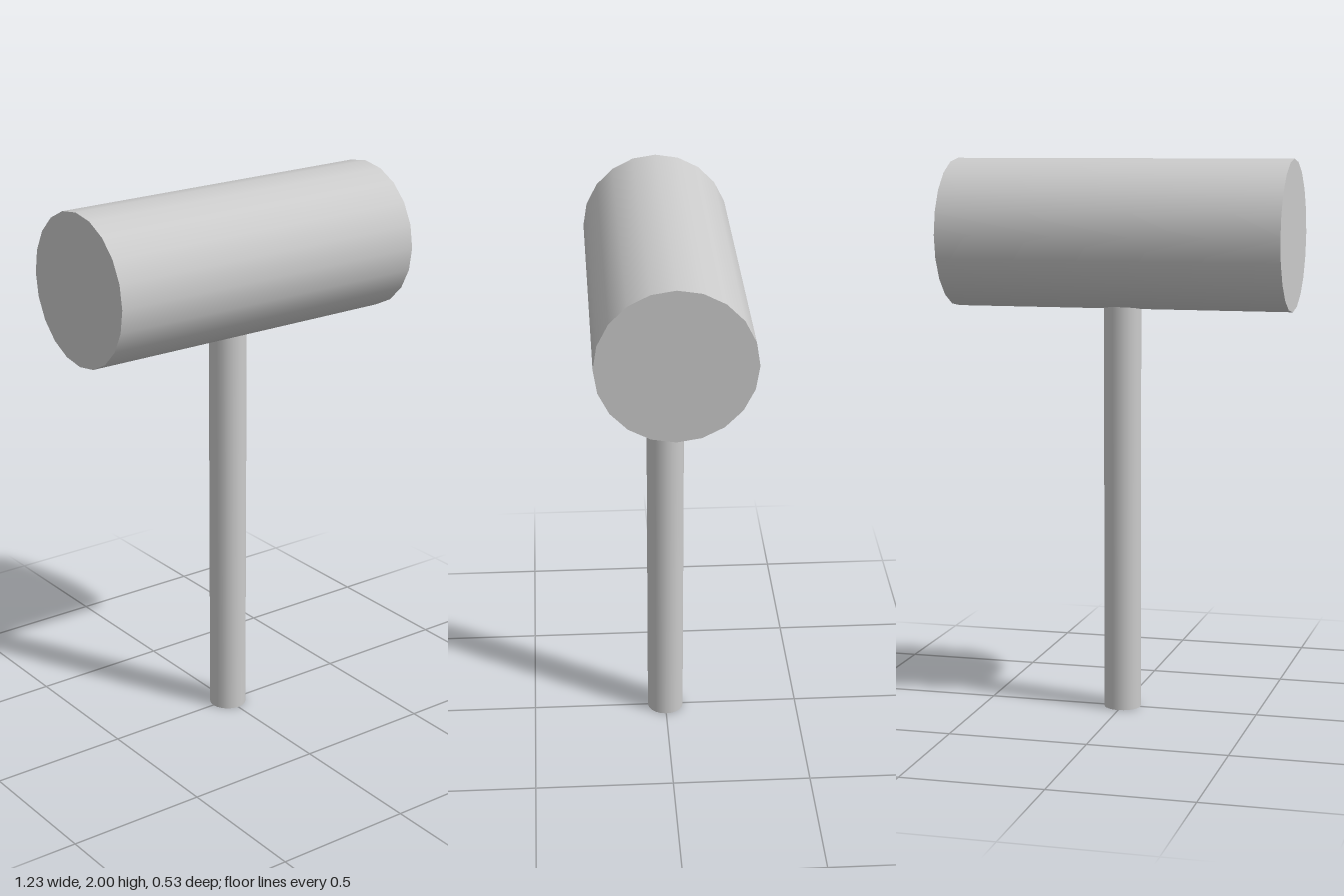
import * as THREE from 'three';

const HEAD_RADIUS = 0.267;
const HEAD_LENGTH = 1.233;
const HANDLE_RADIUS = 0.067;
const HANDLE_LENGTH = 1.5; // runs slightly into the head
const SIDES = 20;

export function createModel() {
  const group = new THREE.Group();
  group.name = 'mallet';
  const material = new THREE.MeshStandardMaterial({ color: 0xcccccc });

  // Upright round handle
  const handle = new THREE.Mesh(
    new THREE.CylinderGeometry(HANDLE_RADIUS, HANDLE_RADIUS, HANDLE_LENGTH, SIDES),
    material
  );
  handle.name = 'handle';
  handle.position.y = HANDLE_LENGTH / 2;
  group.add(handle);

  // Cylindrical head lying along x
  const head = new THREE.Mesh(
    new THREE.CylinderGeometry(HEAD_RADIUS, HEAD_RADIUS, HEAD_LENGTH, SIDES),
    material
  );
  head.name = 'head';
  head.rotation.z = Math.PI / 2;
  head.position.y = 2 - HEAD_RADIUS;
  group.add(head);

  return group;
}
